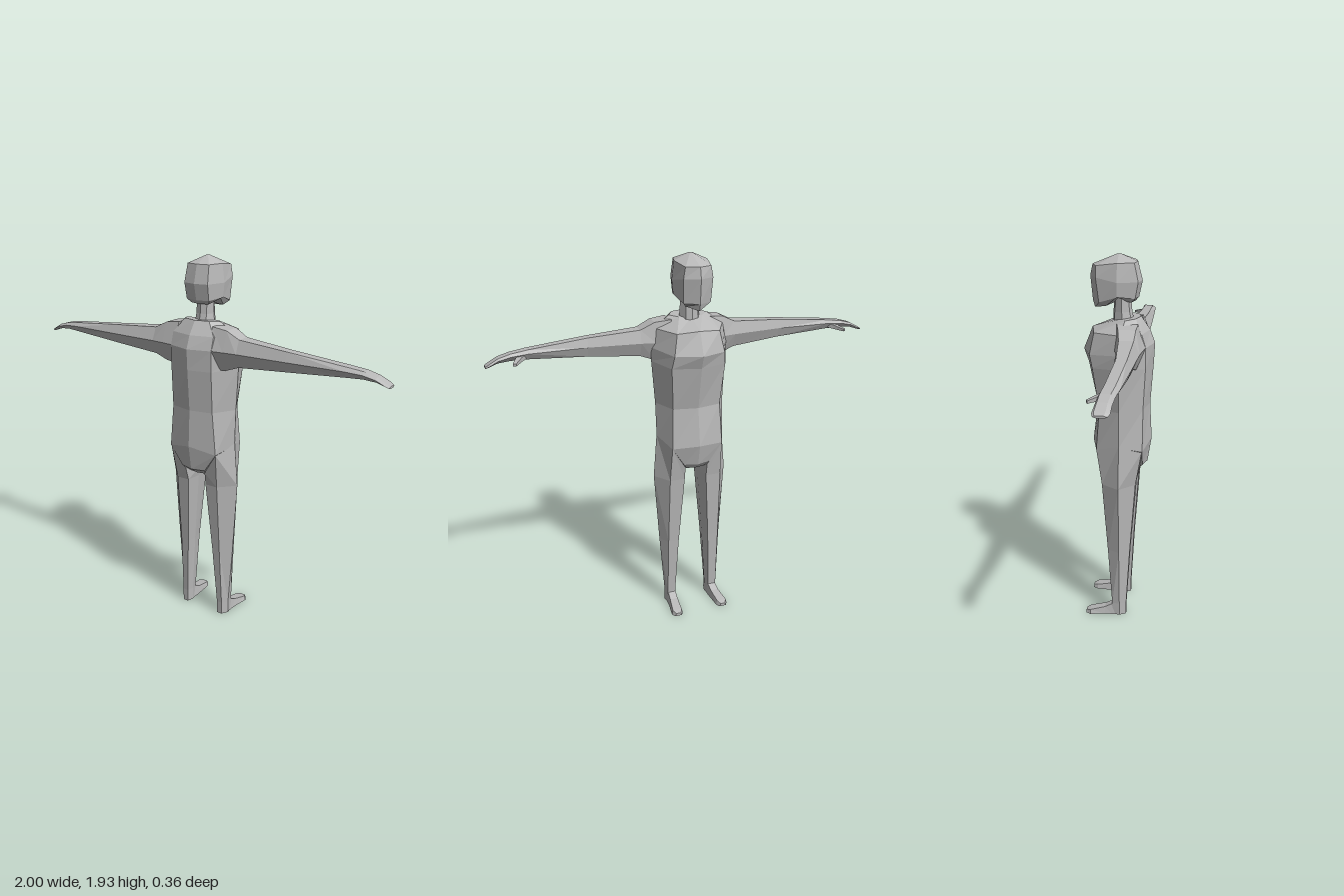
import * as THREE from 'three';

const skin = new THREE.MeshStandardMaterial({ color: 0xb8b8b8, flatShading: true });
skin.name = 'plain grey';

// Closed skin over a list of rings ([x, y, z] points), capped at both ends and wound outwards
function loft(name, rings) {
  const tris = [];
  const n = rings[0].length;
  for (let r = 0; r < rings.length - 1; r++) {
    for (let i = 0; i < n; i++) {
      const j = (i + 1) % n;
      const a = rings[r][i], b = rings[r][j], c = rings[r + 1][j], d = rings[r + 1][i];
      tris.push([a, b, c], [a, c, d]);
    }
  }
  const centre = ring => [0, 1, 2].map(k => ring.reduce((s, p) => s + p[k], 0) / n);
  const first = rings[0], last = rings[rings.length - 1];
  const c0 = centre(first), c1 = centre(last);
  for (let i = 0; i < n; i++) {
    const j = (i + 1) % n;
    tris.push([c0, first[j], first[i]], [c1, last[i], last[j]]);
  }
  // Signed volume tells whether the winding must be reversed
  const [A, B, C] = [new THREE.Vector3(), new THREE.Vector3(), new THREE.Vector3()];
  let volume = 0;
  for (const t of tris) {
    A.fromArray(t[0]).sub(new THREE.Vector3(...c0));
    B.fromArray(t[1]).sub(new THREE.Vector3(...c0));
    C.fromArray(t[2]).sub(new THREE.Vector3(...c0));
    volume += A.dot(B.cross(C));
  }
  if (volume < 0) tris.forEach(t => t.reverse());
  const geometry = new THREE.BufferGeometry();
  geometry.setAttribute('position', new THREE.Float32BufferAttribute(tris.flat(2), 3));
  geometry.computeVertexNormals();
  const mesh = new THREE.Mesh(geometry, skin);
  mesh.name = name;
  return mesh;
}

// Half ring from back centre to chest centre, mirrored into a full one
const whole = half => [...half, ...half.slice(1, -1).reverse().map(([x, y, z]) => [-x, y, z])];
const mirror = (rings, side) => rings.map(ring => ring.map(([x, y, z]) => [x * side, y, z]));

function makeTorso() {
  return loft('torso', [
    [[0, 0.835, 0.1], [0.05, 0.835, 0.09], [0.06, 0.835, 0.02], [0.05, 0.84, -0.07], [0, 0.84, -0.08]],
    [[0, 0.87, 0.15], [0.07, 0.87, 0.13], [0.1, 0.87, 0.02], [0.07, 0.87, -0.09], [0, 0.87, -0.11]],
    [[0, 1.0, 0.17], [0.14, 0.97, 0.135], [0.18, 1.0, 0.02], [0.135, 0.97, -0.1], [0, 0.98, -0.135]],
    [[0, 1.19, 0.16], [0.12, 1.19, 0.135], [0.185, 1.19, 0.02], [0.125, 1.18, -0.085], [0, 1.18, -0.11]],
    [[0, 1.4, 0.175], [0.12, 1.4, 0.145], [0.2, 1.41, 0.025], [0.14, 1.4, -0.115], [0, 1.4, -0.155]],
    [[0, 1.505, 0.18], [0.12, 1.505, 0.145], [0.2, 1.48, 0.02], [0.13, 1.465, -0.13], [0, 1.465, -0.178]],
    [[0, 1.57, 0.155], [0.12, 1.57, 0.125], [0.185, 1.575, 0.03], [0.11, 1.57, -0.11], [0, 1.58, -0.132]],
    [[0, 1.635, 0.11], [0.07, 1.635, 0.09], [0.1, 1.63, 0.04], [0.06, 1.625, 0], [0, 1.62, -0.01]],
  ].map(whole));
}

function makeHead() {
  return loft('head', [
    [[0, 1.71, 0.08], [0.05, 1.71, 0.065], [0.07, 1.745, 0], [0.05, 1.69, -0.06], [0, 1.675, -0.12]],
    [[0, 1.73, 0.098], [0.065, 1.73, 0.085], [0.09, 1.74, 0], [0.07, 1.71, -0.09], [0, 1.71, -0.13]],
    [[0, 1.81, 0.115], [0.068, 1.81, 0.1], [0.097, 1.81, 0], [0.075, 1.83, -0.105], [0, 1.83, -0.142]],
    [[0, 1.9, 0.092], [0.062, 1.9, 0.08], [0.085, 1.9, 0], [0.065, 1.885, -0.105], [0, 1.885, -0.13]],
    [[0, 1.934, 0.01], [0.006, 1.934, 0.008], [0.008, 1.934, 0], [0.006, 1.934, -0.008], [0, 1.934, -0.01]],
  ].map(whole));
}

function makeNeck() {
  const ring = (y, w, back, front) => whole([
    [0, y, back], [w * 0.6, y, back - 0.01], [w, y, (back + front) / 2], [w * 0.6, y, front + 0.01], [0, y, front]]);
  return loft('neck', [ring(1.6, 0.056, 0.078, -0.03), ring(1.66, 0.05, 0.065, -0.028), ring(1.77, 0.048, 0.055, -0.02)]);
}

// Six-sided arm and hand, as x, top, middle and bottom height, chest-side and back-side depth
function makeArm(side) {
  const rings = [
    [0.1, 1.615, 1.505, 1.4, -0.02, 0.147],
    [0.18, 1.605, 1.505, 1.41, 0.0, 0.137],
    [0.25, 1.57, 1.505, 1.435, 0.015, 0.13],
    [0.51, 1.55, 1.505, 1.455, 0.042, 0.122],
    [0.8, 1.523, 1.505, 1.475, 0.036, 0.11],
    [0.88, 1.513, 1.5, 1.478, 0.03, 0.102],
    [0.94, 1.497, 1.487, 1.473, 0.028, 0.098],
    [0.985, 1.473, 1.466, 1.458, 0.022, 0.096],
    [1.0, 1.463, 1.458, 1.453, 0.028, 0.088],
  ].map(([x, top, mid, low, front, back]) => {
    const inset = (back - front) * 0.25;
    return [[x, top, front + inset * 0.5], [x, top, back - inset], [x, mid, back],
      [x, low, back - inset], [x, low, front + inset], [x, mid, front]];
  });
  return loft('arm', mirror(rings, side));
}

function makeThumb(side) {
  const ring = (x, y, z, w, h) => [[x - w, y - h, z], [x + w, y - h, z + w], [x + w, y + h, z + w], [x - w, y + h, z]];
  return loft('thumb', mirror([
    ring(0.815, 1.495, 0.06, 0.02, 0.012), ring(0.845, 1.485, 0.022, 0.012, 0.01), ring(0.872, 1.475, -0.018, 0.007, 0.006)], side));
}

// Six-sided leg; its slanted top meets the hip
function makeLeg(side) {
  const flat = (y, points) => points.map(([x, z]) => [x, y, z]);
  const ankle = [[0.1, 0.055], [0.13, 0.055], [0.15, 0.02], [0.143, -0.02], [0.1, -0.02], [0.09, 0.02]];
  return loft('leg', mirror([
    [[0.06, 0.85, 0.115], [0.138, 0.97, 0.133], [0.181, 1.01, 0.02], [0.135, 0.97, -0.1], [0.06, 0.85, -0.085], [0.035, 0.835, 0.02]],
    flat(0.78, [[0.055, 0.1], [0.125, 0.1], [0.2, 0.02], [0.14, -0.072], [0.06, -0.072], [0.045, 0.02]]),
    flat(0.4, [[0.08, 0.073], [0.125, 0.073], [0.175, 0.02], [0.143, -0.042], [0.085, -0.042], [0.072, 0.02]]),
    flat(0.07, ankle),
    flat(0, ankle),
  ], side));
}

function makeFoot(side) {
  const rings = [
    [0.03, 0.095, 0.145, 0.06],
    [-0.02, 0.093, 0.147, 0.062],
    [-0.06, 0.095, 0.15, 0.042],
    [-0.14, 0.1, 0.163, 0.024],
    [-0.163, 0.112, 0.15, 0.016],
  ].map(([z, x0, x1, y]) => [[x0, 0, z], [x1, 0, z], [x1 - 0.006, y, z], [x0 + 0.006, y, z]]);
  return loft('foot', mirror(rings, side));
}

export function createModel() {
  const model = new THREE.Group();
  model.name = 'figure';
  model.add(makeTorso(), makeNeck(), makeHead());
  for (const side of [1, -1]) {
    const limbs = new THREE.Group();
    limbs.name = side > 0 ? 'leftLimbs' : 'rightLimbs';
    limbs.add(makeArm(side), makeThumb(side), makeLeg(side), makeFoot(side));
    model.add(limbs);
  }
  return model;
}
